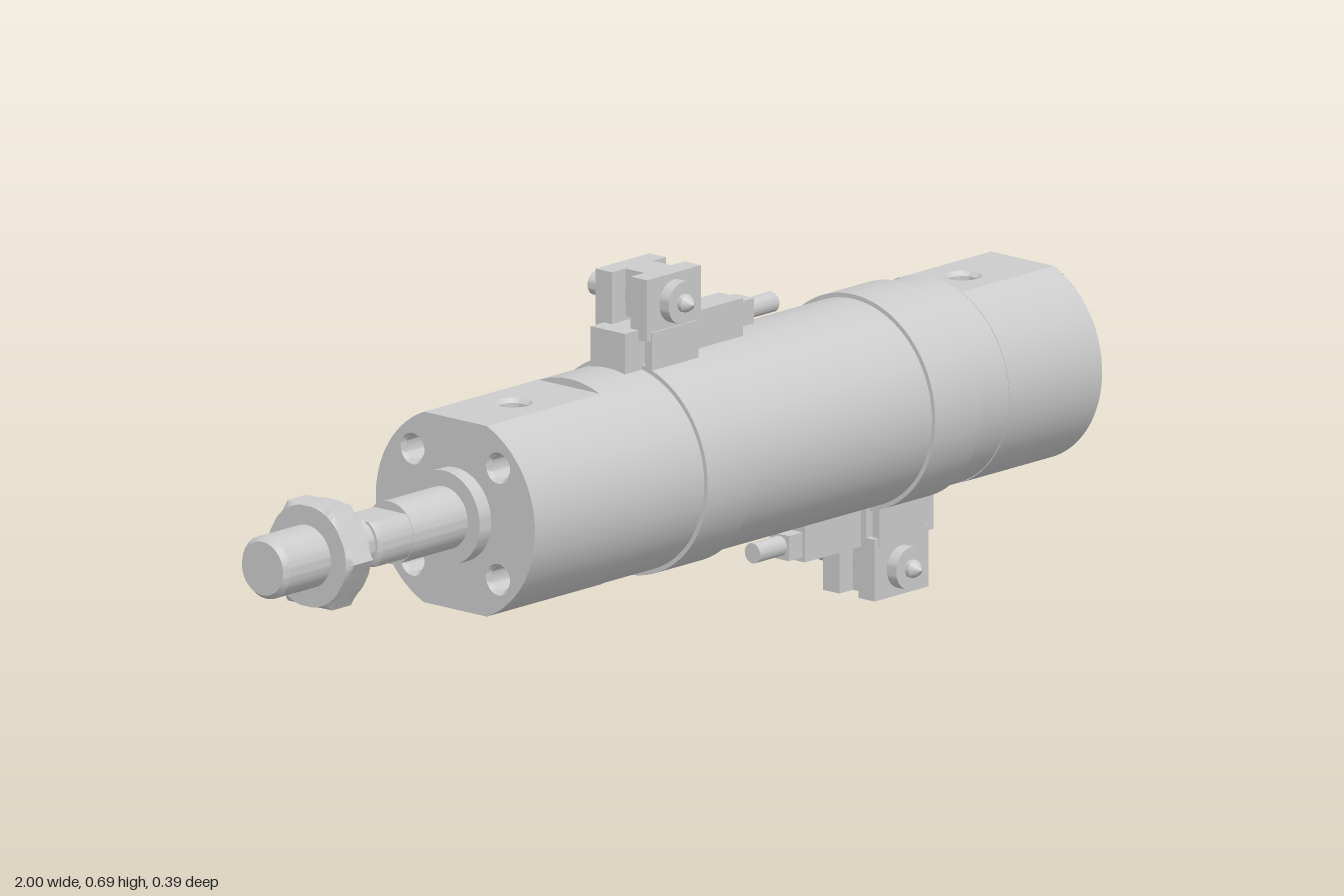
import * as THREE from 'three';
import { toCreasedNormals } from 'three/addons/utils/BufferGeometryUtils.js';

const C = 0.347;             // height of the cylinder axis
const R = 0.186, H = 0.171;  // end cap radius and half height across its flats
const EDGE = Math.acos(H / R);
const mat = new THREE.MeshStandardMaterial({ color: 0xcccccc });
const open = new THREE.MeshStandardMaterial({ color: 0xcccccc, side: THREE.DoubleSide });

function add(parent, name, geo, material = mat) {
  const m = new THREE.Mesh(toCreasedNormals(geo, 0.5), material);
  m.name = name;
  parent.add(m);
  return m;
}

// Turned part along x from [x, radius] pairs, centred on the axis
function turned(points, seg = 64) {
  return new THREE.LatheGeometry(points.map(([x, r]) => new THREE.Vector2(r, x)), seg).rotateZ(-Math.PI / 2);
}

function box(parent, name, x0, x1, y0, y1, z0, z1) {
  const m = add(parent, name, new THREE.BoxGeometry(x1 - x0, y1 - y0, z1 - z0));
  m.position.set((x0 + x1) / 2, (y0 + y1) / 2, (z0 + z1) / 2);
}

// Plain surface patch; map(u, v, depth) returns a point
function sheet(u0, u1, v0, v1, map) {
  const g = new THREE.PlaneGeometry(1, 1, 1, 24), p = g.attributes.position;
  for (let i = 0; i < p.count; i++) {
    p.setXYZ(i, ...map(u0 + (p.getX(i) + 0.5) * (u1 - u0), v0 + (p.getY(i) + 0.5) * (v1 - v0), 0));
  }
  return g;
}

// Surface patch with a blind countersunk hole of radius r at (cu, cv)
function holedSheet(u0, u1, v0, v1, cu, cv, r, map) {
  const n = 16, rim = [], pos = [], idx = [];
  const corners = [[u0, v0], [u1, v0], [u1, v1], [u0, v1]];
  corners.forEach(([a, b], i) => {
    const [c, d] = corners[(i + 1) % 4];
    for (let k = 0; k < n; k++) rim.push([a + (c - a) * k / n, b + (d - b) * k / n]);
  });
  // rings: [share of hole radius, share towards the patch border, depth]
  const rings = [[0, 0, 0.07], [0.78, 0, 0.055], [0.78, 0, 0.008], [1, 0, 0], [1, 0.4, 0], [1, 1, 0]];
  for (const [s, t, depth] of rings) {
    for (const [u, v] of rim) {
      const a = Math.atan2(v - cv, u - cu);
      const hu = cu + Math.cos(a) * r * s, hv = cv + Math.sin(a) * r * s;
      pos.push(...map(hu + (u - hu) * t, hv + (v - hv) * t, depth));
    }
  }
  const N = rim.length;
  for (let j = 0; j < rings.length - 1; j++) {
    for (let i = 0; i < N; i++) {
      const a = j * N + i, b = j * N + (i + 1) % N;
      idx.push(a, a + N, b, b, a + N, b + N);
    }
  }
  const g = new THREE.BufferGeometry();
  g.setAttribute('position', new THREE.Float32BufferAttribute(pos, 3));
  g.setIndex(idx);
  return g;
}

// End cap with flats, ports, side holes and a drilled end face
function endCap(name, x0, x1, portX, smallX, faceX) {
  const cap = new THREE.Group();
  cap.name = name;
  const w = R * Math.sin(EDGE);
  for (const s of [1, -1]) {
    add(cap, 'portFlat', holedSheet(x0, x1, -w, w, portX, 0, 0.034, (u, v, d) => [u, C + s * (H - d), v]), open);
  }
  const around = side => (u, v, d) => [u, C + (R - d) * Math.cos(v / R), side * (R - d) * Math.sin(v / R)];
  const arc = deg => deg * Math.PI / 180 * R;
  const top = EDGE * R, bottom = (Math.PI - EDGE) * R, back = around(-1);
  add(cap, 'frontSide', sheet(x0, x1, top, bottom, around(1)), open);
  add(cap, 'backUpper', sheet(x0, x1, top, arc(54), back), open);
  add(cap, 'backSmallHole', holedSheet(x0, x1, arc(54), arc(78), smallX, arc(66), 0.019, back), open);
  add(cap, 'backMountHole', holedSheet(x0, x1, arc(78), arc(104), portX, arc(91), 0.03, back), open);
  add(cap, 'backLower', sheet(x0, x1, arc(104), bottom, back), open);

  const face = new THREE.Shape();
  face.absarc(0, 0, R, EDGE - Math.PI / 2, Math.PI / 2 - EDGE, false);
  face.absarc(0, 0, R, Math.PI / 2 + EDGE, Math.PI * 1.5 - EDGE, false);
  face.closePath();
  const dir = Math.sign(faceX);
  for (const y of [-0.1, 0.1]) for (const z of [-0.1, 0.1]) {
    face.holes.push(new THREE.Path().absarc(z, y, 0.028, 0, Math.PI * 2, true));
    const hole = add(cap, 'endHole', turned([[0, 0.028], [-0.007 * dir, 0.022], [-0.06 * dir, 0.022], [-0.075 * dir, 0]], 32), open);
    hole.position.set(faceX, C + y, z);
  }
  const g = new THREE.ShapeGeometry(face, 32).rotateY(dir * Math.PI / 2);
  add(cap, 'endFace', g, open).position.set(faceX, C, 0);
  return cap;
}

// Position sensor with its clamp, centred on x = 0 above the axis
function sensor() {
  const g = new THREE.Group();
  box(g, 'holder', -0.105, 0.07, 0.17, 0.253, -0.04, 0.04);
  box(g, 'sensorBody', 0.05, 0.215, 0.185, 0.253, -0.028, 0.028);
  box(g, 'sensorNose', 0.215, 0.25, 0.2, 0.245, -0.022, 0.022);
  const cable = add(g, 'cable', turned([[0.24, 0], [0.24, 0.018], [0.32, 0.018], [0.32, 0]], 24));
  cable.position.y = 0.221;
  box(g, 'clampCore', -0.035, 0.035, 0.261, 0.346, -0.023, 0.023);
  for (const s of [-1, 1]) {
    const span = (a, b) => s > 0 ? [a, b] : [-b, -a];
    box(g, 'clampCheek', -0.07, 0.07, 0.235, 0.346, ...span(0.022, 0.06));
    box(g, 'bandLeg', -0.06, 0.06, 0.172, 0.25, ...span(0.046, 0.063));
  }
  // clamp screw running along z
  const screw = [[-0.123, 0], [-0.123, 0.021], [-0.075, 0.021], [-0.075, 0.028], [-0.064, 0.03],
    [-0.064, 0.036], [-0.055, 0.036], [0.055, 0.036], [0.055, 0.038], [0.082, 0.038], [0.082, 0.016],
    [0.09, 0.016], [0.1, 0.01], [0.108, 0]];
  add(g, 'clampScrew', turned(screw, 32).rotateY(-Math.PI / 2)).position.y = 0.296;
  return g;
}

export function createModel() {
  const model = new THREE.Group();
  model.name = 'pneumaticCylinder';
  const axis = new THREE.Group();
  axis.name = 'axisParts';
  axis.position.y = C;
  model.add(axis);

  add(axis, 'tube', turned([[-0.205, 0], [-0.205, 0.185], [0.73, 0.185], [0.73, 0]], 96));
  for (const x of [0, 0.59]) {
    add(axis, 'sensorBand', turned([[x - 0.06, 0.184], [x - 0.06, 0.193], [x + 0.06, 0.193], [x + 0.06, 0.184]], 96));
  }
  add(axis, 'rearBoss', turned([[0.95, 0], [0.95, 0.084], [1, 0.084], [1, 0]]));
  add(axis, 'frontBoss', turned([[-0.53, 0], [-0.53, 0.084], [-0.48, 0.084], [-0.48, 0]]));
  model.add(endCap('frontCap', -0.5, -0.205, -0.35, -0.28, -0.5));
  model.add(endCap('rearCap', 0.73, 0.97, 0.815, 0.755, 0.97));

  // piston rod: threaded end, neck, wrench flats, shaft
  add(axis, 'rodEnd', turned([[-1, 0], [-1, 0.048], [-0.99, 0.056], [-0.798, 0.056], [-0.788, 0.043], [-0.75, 0.043], [-0.75, 0]]));
  add(axis, 'rodShaft', turned([[-0.67, 0], [-0.67, 0.056], [-0.52, 0.056], [-0.52, 0]]));
  const flats = turned([[-0.755, 0], [-0.755, 0.048], [-0.748, 0.055], [-0.67, 0.055], [-0.67, 0]]);
  const fp = flats.attributes.position;
  for (let i = 0; i < fp.count; i++) fp.setY(i, THREE.MathUtils.clamp(fp.getY(i), -0.04, 0.04));
  add(axis, 'wrenchFlats', flats);

  // hex nut: a chamfered disc trimmed to six flats
  const nut = turned([[-0.885, 0], [-0.885, 0.091], [-0.877, 0.104], [-0.828, 0.104], [-0.82, 0.091], [-0.82, 0]], 96);
  const np = nut.attributes.position, sector = Math.PI / 3;
  for (let i = 0; i < np.count; i++) {
    const y = np.getY(i), z = np.getZ(i), r = Math.hypot(y, z);
    if (r < 1e-6) continue;
    const a = Math.atan2(z, y), off = a - Math.round(a / sector) * sector;
    const k = Math.min(r, 0.09 / Math.cos(off)) / r;
    np.setY(i, y * k);
    np.setZ(i, z * k);
  }
  add(axis, 'rodNut', nut);

  const upper = sensor();
  upper.name = 'upperSensor';
  const lower = sensor();
  lower.name = 'lowerSensor';
  lower.position.x = 0.59;
  lower.rotation.z = Math.PI;
  axis.add(upper, lower);
  return model;
}
